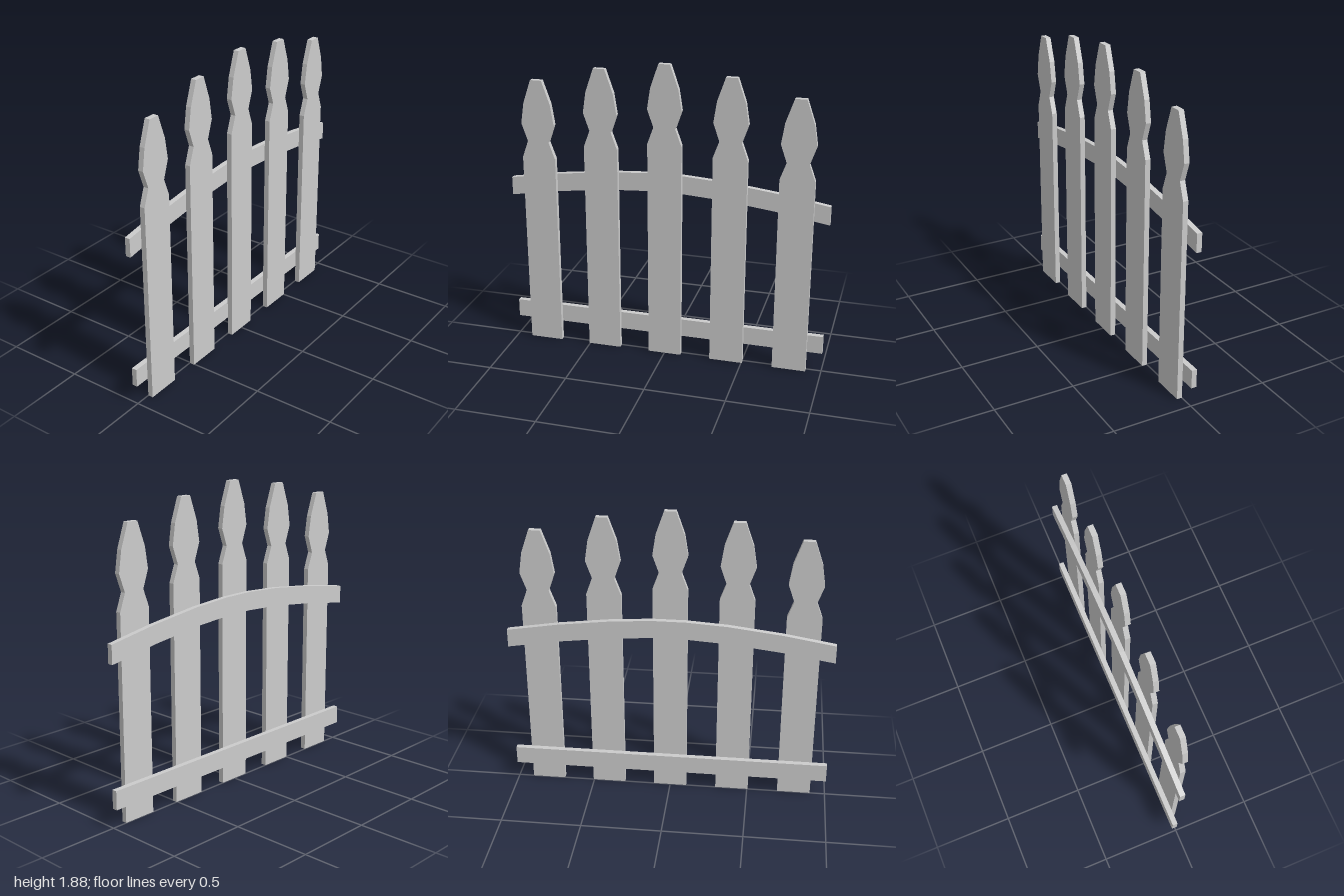
import * as THREE from 'three';

const THICK = 0.033;
const material = new THREE.MeshStandardMaterial({ color: 0xcccccc, flatShading: true });

// Extrudes an outline of [along, y] points into a flat board facing +x, starting at x
function board(name, points, x) {
  const shape = new THREE.Shape(points.map(([u, y]) => new THREE.Vector2(u, y)));
  const geometry = new THREE.ExtrudeGeometry(shape, { depth: THICK, bevelEnabled: false });
  geometry.rotateY(Math.PI / 2);
  const mesh = new THREE.Mesh(geometry, material);
  mesh.name = name;
  mesh.position.x = x;
  return mesh;
}

// Right half of a symmetric outline, completed by its mirror image
const mirrored = (half) => [...half, ...half.map(([u, y]) => [-u, y]).reverse()];

// Picket with a necked, spear-shaped head ending in a small flat tip
function picket(top) {
  return board('picket', mirrored([
    [0.105, 0],
    [0.105, top - 0.49],
    [0.067, top - 0.385],
    [0.105, top - 0.275],
    [0.085, top - 0.145],
    [0.035, top],
  ]), 0);
}

export function createModel() {
  const fence = new THREE.Group();
  fence.name = 'picketFence';

  // Five pickets, tallest in the middle
  const pickets = new THREE.Group();
  pickets.name = 'pickets';
  [1.735, 1.832, 1.885, 1.832, 1.735].forEach((top, i) => {
    const p = picket(top);
    p.position.z = (i - 2) * 0.4;
    pickets.add(p);
  });
  fence.add(pickets);

  // Straight lower rail behind the pickets
  fence.add(board('lowerRail', mirrored([[1, 0.12], [1, 0.236]]), -THICK));

  // Arched upper rail: the same curve for its top and bottom edges
  const arch = [[0.1, 1.199], [0.35, 1.183], [0.68, 1.143], [1, 1.09]];
  const bottomEdge = arch.map(([u, y]) => [u, y - 0.115]);
  fence.add(board('upperRail', mirrored([...bottomEdge, ...arch.slice().reverse()]), -THICK));

  return fence;
}
